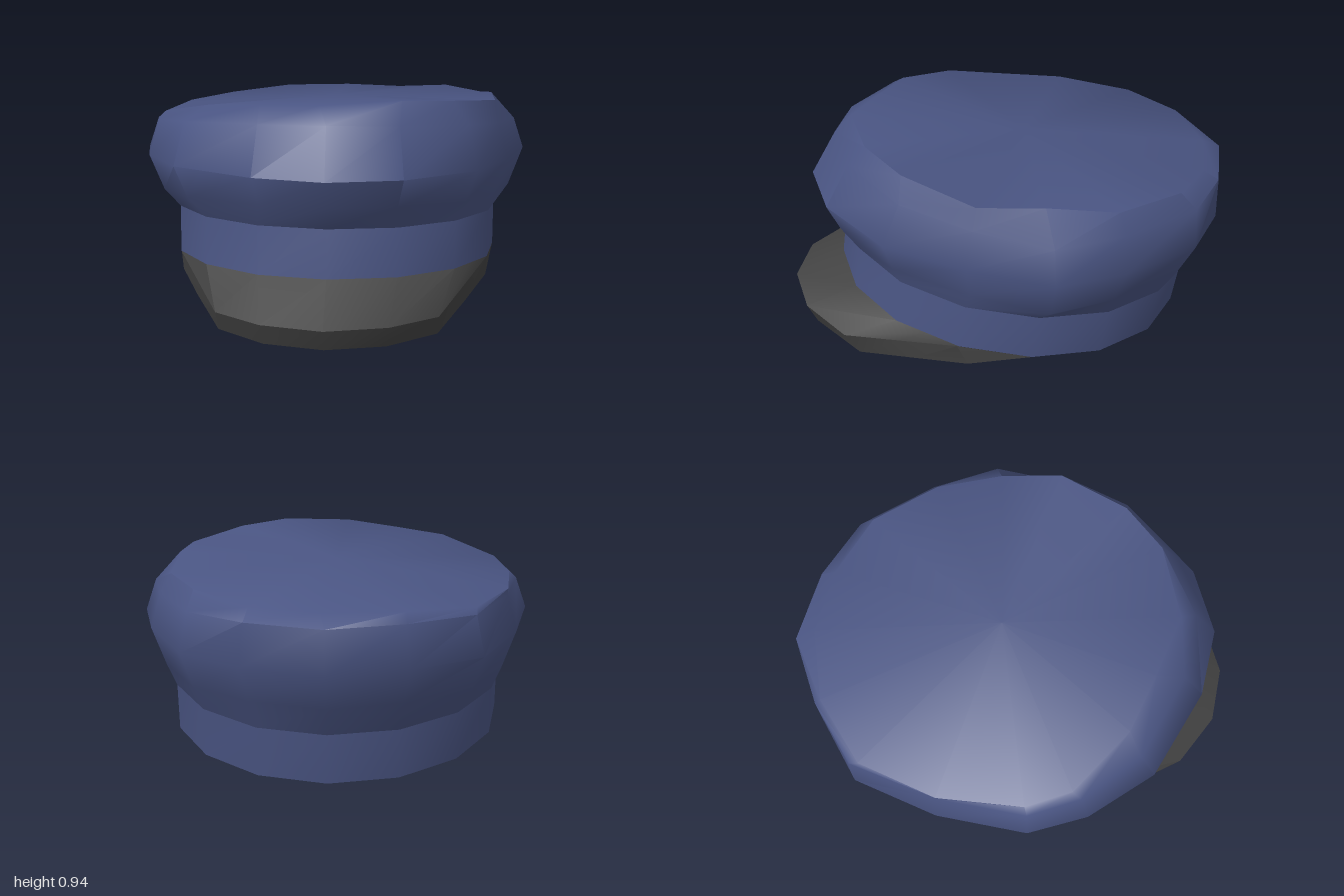
import * as THREE from 'three';
import { toCreasedNormals } from 'three/addons/utils/BufferGeometryUtils.js';

const SIDES = 16;

// Skins a stack of rings (each a list of [x, y, z]); a cap is given by its centre.
function loft(rings, { closed = true, capTop, capBottom } = {}) {
  const n = rings[0].length;
  const points = rings.flat();
  const index = [];
  const spans = closed ? n : n - 1;
  for (let r = 0; r < rings.length - 1; r++) {
    for (let i = 0; i < spans; i++) {
      const j = (i + 1) % n;
      const a = r * n + i, b = r * n + j, c = a + n, d = b + n;
      index.push(a, b, d, a, d, c);
    }
  }
  const addCap = (centre, start, up) => {
    const m = points.push(centre) - 1;
    for (let i = 0; i < n; i++) {
      const a = start + i, b = start + (i + 1) % n;
      index.push(m, up ? a : b, up ? b : a);
    }
  };
  if (capTop) addCap(capTop, (rings.length - 1) * n, true);
  if (capBottom) addCap(capBottom, 0, false);
  const g = new THREE.BufferGeometry();
  g.setAttribute('position', new THREE.Float32BufferAttribute(points.flat(), 3));
  g.setIndex(index);
  return g;
}

// Point on a tilted oval, counted in sixteenths from the front.
function ovalPoint(i, cy, cz, slope) {
  const a = (i / SIDES) * Math.PI * 2;
  const dz = 0.79 * Math.cos(a);
  return [0.74 * Math.sin(a), cy + slope * dz, cz + dz];
}
const bandBottom = i => ovalPoint(i, 0.14, -0.02, 0.139);
const bandTop = i => ovalPoint(i, 0.345, -0.05, 0.133);
const ring = fn => Array.from({ length: SIDES }, (_, i) => fn(i));

// Lower inner edge: drops by the visor's thickness across the front
function undersidePoint(i) {
  const [x, y, z] = bandBottom(i);
  return Math.min(i, SIDES - i) < 4 ? [x, y - 0.097, z - 0.035] : [x, y, z];
}

function crownGeometry() {
  // Widest outline of the crown as [x, z], starting at the front
  const outline = [
    [0, 0.87], [0.3, 0.8], [0.6, 0.57], [0.76, 0.25],
    [0.87, -0.09], [0.78, -0.39], [0.59, -0.73], [0.33, -0.9],
    [0, -1], [-0.32, -0.9], [-0.61, -0.74], [-0.78, -0.38],
    [-0.87, 0.01], [-0.81, 0.27], [-0.64, 0.56], [-0.29, 0.79],
  ];
  // Slightly uneven edge of the flat top as [x, y, z]
  const topEdge = [
    [-0.03, 0.935, 0.68], [0.29, 0.945, 0.62], [0.5, 0.92, 0.48], [0.7, 0.87, 0.2],
    [0.71, 0.855, -0.07], [0.69, 0.8, -0.37], [0.54, 0.78, -0.66], [0.3, 0.74, -0.83],
    [0.02, 0.735, -0.91], [-0.3, 0.735, -0.87], [-0.58, 0.725, -0.7], [-0.74, 0.745, -0.37],
    [-0.79, 0.765, 0], [-0.74, 0.81, 0.2], [-0.51, 0.885, 0.44], [-0.28, 0.91, 0.56],
  ];
  // Scaled copy of the outline with its own front and back slopes
  const level = (sx, sFront, sBack, y, kFront, kBack) => outline.map(([x, z]) => {
    const zz = z * (z > 0 ? sFront : sBack);
    return [x * sx, y + zz * (z > 0 ? kFront : kBack), zz];
  });
  return loft([
    ring(bandTop),
    level(0.93, 0.94, 0.92, 0.42, 0.17, 0.06),
    level(1, 1, 1, 0.6, 0.09, 0.09),
    level(0.945, 0.87, 1, 0.735, 0.18, 0.045),
    topEdge,
  ], { capTop: [0, 0.835, -0.08] });
}

function visorGeometry() {
  // One half from the centre to the side, as [x, y, z]
  const topHalf = [
    [0, 0.13, 1], [0.25, 0.125, 0.94], [0.45, 0.1, 0.77],
    [0.565, 0.14, 0.53], [0.68, 0.18, 0.29], [0.74, 0.14, -0.02],
  ];
  const bottomHalf = [
    [0, 0.03, 0.95], [0.24, 0.028, 0.9], [0.45, 0, 0.71],
    [0.58, 0.05, 0.47], [0.684, 0.083, 0.247], [0.74, 0.14, -0.02],
  ];
  // Inner edges follow the band, with an extra station on its third side
  const innerHalf = fn => {
    const p = [0, 1, 2, 3, 4].map(fn);
    p.splice(3, 0, p[2].map((v, k) => (v + p[3][k]) / 2));
    return p;
  };
  const mirror = half => [...half.slice(1).reverse().map(([x, y, z]) => [-x, y, z]), ...half];
  return loft([
    mirror(innerHalf(undersidePoint)),
    mirror(bottomHalf),
    mirror(topHalf),
    mirror(innerHalf(bandBottom)),
  ], { closed: false });
}

export function createModel() {
  const cloth = new THREE.MeshStandardMaterial({ color: 0x4a5583 });
  cloth.name = 'blue cloth';
  const peak = new THREE.MeshStandardMaterial({ color: 0x434343, side: THREE.DoubleSide });
  peak.name = 'dark grey peak';

  const group = new THREE.Group();
  group.name = 'cap';
  const add = (name, geometry, material, crease) => {
    const mesh = new THREE.Mesh(toCreasedNormals(geometry, crease), material);
    mesh.name = name;
    group.add(mesh);
  };

  // Puffy crown, head band, closed underside and sloping visor
  add('crown', crownGeometry(), cloth, 0.9);
  add('band', loft([ring(bandBottom), ring(bandTop)]), cloth, 0.7);
  add('underside', loft([ring(undersidePoint)], { capBottom: [0, 0.125, -0.02] }), cloth, 0.5);
  add('visor', visorGeometry(), peak, 0.5);
  return group;
}
